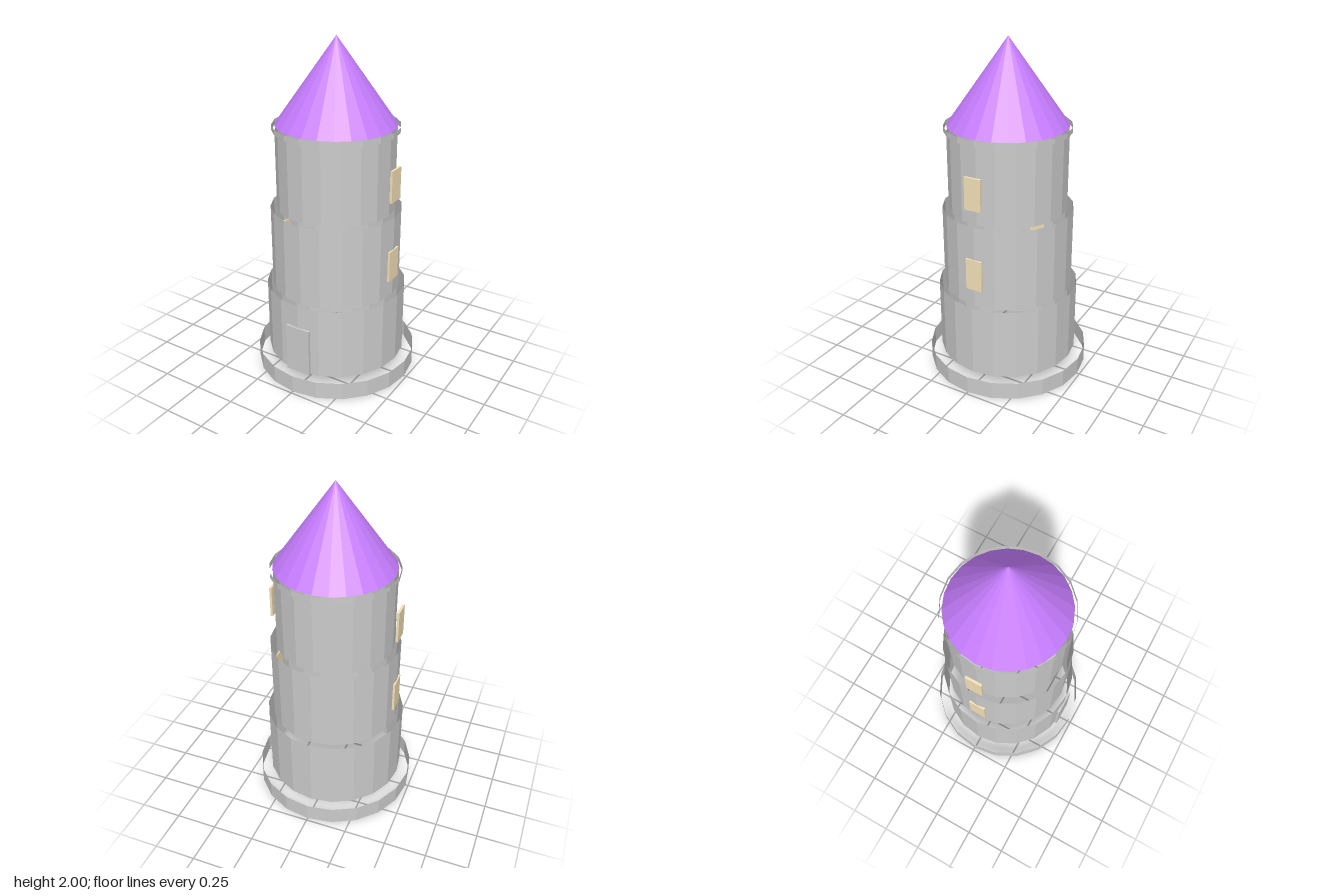
import * as THREE from 'three';

const makeMaterial = (color) =>
  new THREE.MeshStandardMaterial({ color, flatShading: true, side: THREE.DoubleSide });

export function createModel() {
  const tower = new THREE.Group();
  tower.name = 'tower';
  const stone = makeMaterial(0xcccccc);
  const roofPaint = makeMaterial(0xc77dff);
  const glass = makeMaterial(0xf5e2b8);

  const add = (name, geometry, material, x, y, z) => {
    const mesh = new THREE.Mesh(geometry, material);
    mesh.name = name;
    mesh.position.set(x, y, z);
    tower.add(mesh);
  };

  // Open stone rings stacked from the ground up: name, radius, bottom, top
  const rings = [
    ['baseRing', 0.484, 0, 0.106],
    ['lowerTier', 0.418, 0.106, 0.54],
    ['middleTier', 0.384, 0.54, 1.027],
    ['upperTier', 0.347, 1.027, 1.483],
    ['collar', 0.364, 1.483, 1.514],
  ];
  for (const [name, radius, bottom, top] of rings) {
    const wall = new THREE.CylinderGeometry(radius, radius, top - bottom, 20, 1, true);
    add(name, wall, stone, 0, (bottom + top) / 2, 0);
  }

  // Pointed roof
  add('roof', new THREE.ConeGeometry(0.347, 0.486, 24, 1, true), roofPaint, 0, 1.757, 0);

  // Front door
  add('door', new THREE.BoxGeometry(0.156, 0.295, 0.016), stone, 0, 0.2535, 0.417);

  // Two windows on each side
  for (const [side, x] of [['left', 0.382], ['right', -0.382]]) {
    for (const [level, y] of [['Lower', 0.735], ['Upper', 1.222]]) {
      add(`${side}${level}Window`, new THREE.BoxGeometry(0.014, 0.188, 0.102), glass, x, y, 0);
    }
  }
  return tower;
}
